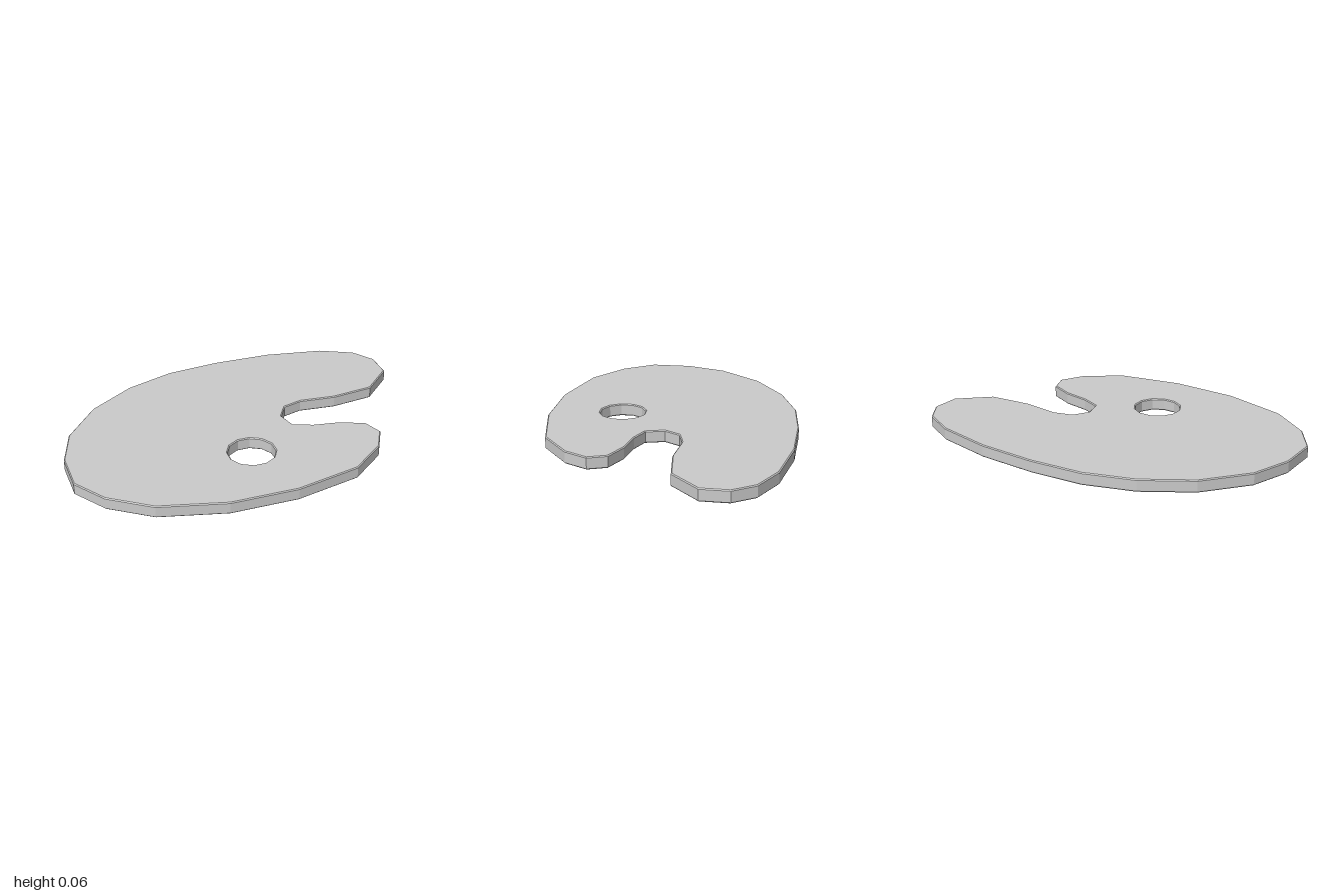
import * as THREE from 'three';

const THICKNESS = 0.065;
const BEVEL = 0.005;

// Board outline seen from above, as [x, z]
const OUTLINE = [
  // back edge, left end to right end
  [-1, -0.01], [-0.945, -0.22], [-0.82, -0.41], [-0.59, -0.575], [-0.32, -0.66],
  [-0.05, -0.675], [0.23, -0.625], [0.53, -0.535], [0.81, -0.4], [0.955, -0.27],
  [1, -0.14], [0.96, 0], [0.77, 0.1],
  // notch
  [0.545, 0.065], [0.365, -0.005], [0.26, -0.005], [0.19, 0.06], [0.19, 0.16],
  [0.275, 0.225], [0.405, 0.285],
  // front lobe and front edge
  [0.51, 0.37], [0.52, 0.475], [0.425, 0.575], [0.21, 0.665], [-0.135, 0.645],
  [-0.47, 0.55], [-0.775, 0.375], [-0.935, 0.18],
];

const toPoints = (list) => list.map(([x, z]) => new THREE.Vector2(x, z));

export function createModel() {
  const group = new THREE.Group();
  group.name = 'paintPalette';

  const shape = new THREE.Shape(toPoints(OUTLINE));

  // Twelve-sided thumb hole
  const hole = [];
  for (let i = 0; i < 12; i++) {
    const a = (i / 12) * Math.PI * 2;
    hole.push([-0.135 + 0.123 * Math.cos(a), 0.248 + 0.123 * Math.sin(a)]);
  }
  shape.holes.push(new THREE.Path(toPoints(hole)));

  // Flat slab with a fine chamfer, laid down so the shape's y becomes z
  const geometry = new THREE.ExtrudeGeometry(shape, {
    depth: THICKNESS - 2 * BEVEL,
    bevelEnabled: true,
    bevelThickness: BEVEL,
    bevelSize: BEVEL,
    bevelOffset: -BEVEL,
    bevelSegments: 1,
  });
  geometry.rotateX(Math.PI / 2);
  geometry.translate(0, THICKNESS - BEVEL, 0);

  const board = new THREE.Mesh(
    geometry,
    new THREE.MeshStandardMaterial({ color: 0xcccccc, flatShading: true })
  );
  board.name = 'board';
  group.add(board);
  return group;
}
